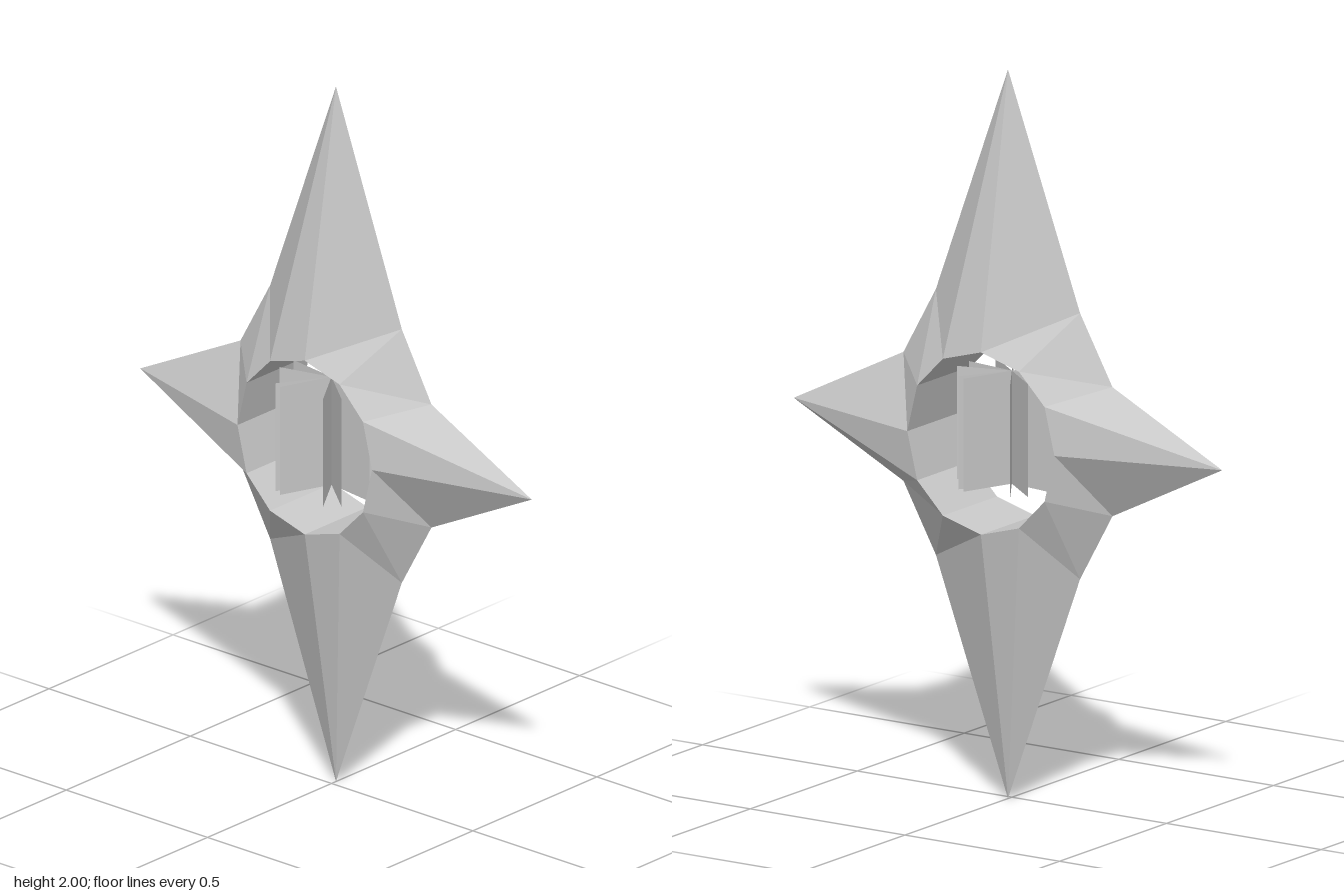
import * as THREE from 'three';

const grey = new THREE.MeshStandardMaterial({ name: 'grey', color: 0xc8c8c8, flatShading: true, side: THREE.DoubleSide });

const CENTRE_Y = 1, MID_Z = -0.018, FRONT_Z = 0.108, BACK_Z = -0.145;

// One quarter of the star, clockwise from the top: outline and hole corners
const outerQuarter = [[0, 1], [0.233, 0.365], [0.338, 0.177], [0.693, 0]];
const innerQuarter = [[0, 0.25], [0.123, 0.215], [0.206, 0.13], [0.238, 0]];

// Mirror a quarter into the full twelve-point loop
function fullLoop(q) {
  const right = [...q, ...q.slice(0, 3).reverse().map(([x, y]) => [x, -y])];
  return [...right, ...right.slice(1, -1).reverse().map(([x, y]) => [-x, y])];
}

// Faceted four-pointed ring with a triangular cross-section
function starGeometry() {
  const outer = fullLoop(outerQuarter), inner = fullLoop(innerQuarter);
  const n = outer.length, pos = [];
  const section = (i) => [
    [...inner[i], FRONT_Z], [...outer[i], MID_Z], [...inner[i], BACK_Z],
  ];
  for (let i = 0; i < n; i++) {
    const a = section(i), b = section((i + 1) % n);
    for (let k = 0; k < 3; k++) {
      const m = (k + 1) % 3;
      pos.push(...a[k], ...b[k], ...b[m], ...a[k], ...b[m], ...a[m]);
    }
  }
  const g = new THREE.BufferGeometry();
  g.setAttribute('position', new THREE.Float32BufferAttribute(pos, 3));
  g.computeVertexNormals();
  return g;
}

export function createModel() {
  const model = new THREE.Group();
  model.name = 'starWithCore';

  const star = new THREE.Mesh(starGeometry(), grey);
  star.name = 'starRing';
  star.position.y = CENTRE_Y;
  model.add(star);

  // Square sheets crossing on a vertical axis inside the hole
  const core = new THREE.Group();
  core.name = 'coreSheets';
  const sheet = new THREE.PlaneGeometry(0.31, 0.31);
  [8, 39, 57, 111, 122, 165].forEach((deg, i) => {
    const mesh = new THREE.Mesh(sheet, grey);
    mesh.name = `coreSheet${i + 1}`;
    mesh.rotation.y = -THREE.MathUtils.degToRad(deg);
    core.add(mesh);
  });
  core.position.y = 1.015;
  model.add(core);

  return model;
}
